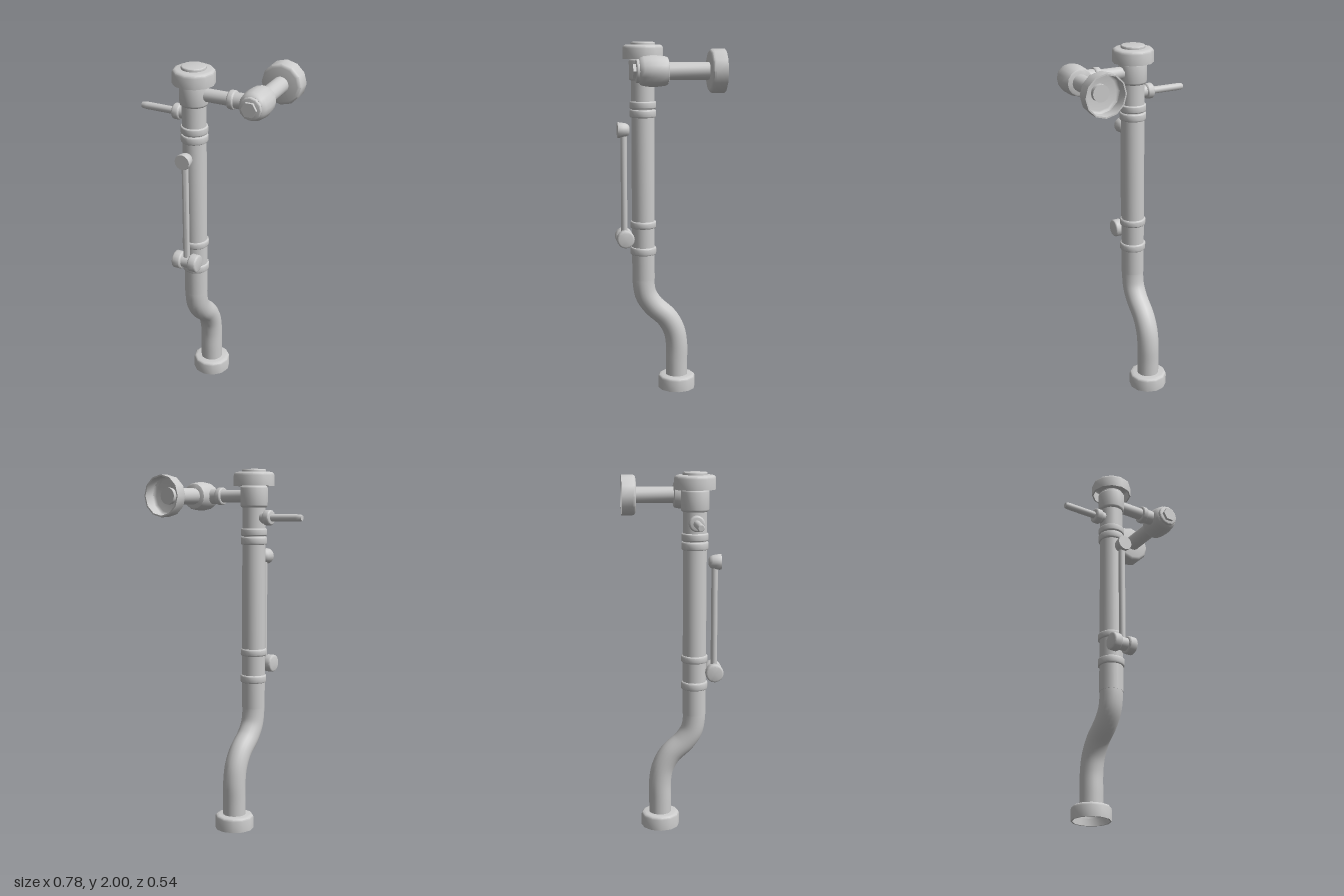
import * as THREE from 'three';
import { toCreasedNormals } from 'three/addons/utils/BufferGeometryUtils.js';

const PX = -0.08, PZ = 0.113;      // axis of the upright pipe
const VX = 0.273, VY = 1.853;      // axis of the stop valve

export function createModel() {
  const group = new THREE.Group();
  const solid = new THREE.MeshStandardMaterial({ color: 0xcccccc });
  const shell = new THREE.MeshStandardMaterial({ color: 0xcccccc, side: THREE.DoubleSide });

  const add = (name, geometry, material = solid) => {
    const mesh = new THREE.Mesh(toCreasedNormals(geometry, 0.65), material);
    mesh.name = name;
    group.add(mesh);
    return mesh;
  };

  // Turned part: profile of [radius, distance along axis]
  const turned = (name, axis, [x, y, z], profile, sides = 16, material = solid, spin = 0) => {
    const g = new THREE.LatheGeometry(profile.map(([r, h]) => new THREE.Vector2(r, h)), sides);
    g.rotateY(spin);
    if (axis === 'x') g.rotateZ(-Math.PI / 2);
    if (axis === 'z') g.rotateX(Math.PI / 2);
    g.translate(x, y, z);
    return add(name, g, material);
  };

  // Closed drum from a to b with softened rims
  const drum = (r, a, b, e = 0) => {
    if (!e) return [[0, a], [r, a], [r, b], [0, b]];
    const arc = [0, 30, 60, 90].map(d => d * Math.PI / 180);
    return [
      [0, a],
      ...arc.map(t => [r - e + e * Math.sin(t), a + e - e * Math.cos(t)]),
      ...arc.map(t => [r - e + e * Math.cos(t), b - e + e * Math.sin(t)]),
      [0, b],
    ];
  };

  // Hollow cup, open at distance a and closed at b
  const cup = (r, a, b, e) => [
    [r - 0.008, b - 0.02], [r - 0.008, a], [r, a],
    ...[0, 30, 60, 90].map(d => d * Math.PI / 180)
      .map(t => [r - e + e * Math.cos(t), b - e + e * Math.sin(t)]),
    [0, b],
  ];

  // Upright pipe with an S-bend down to the floor
  const straight = turned('uprightPipe', 'y', [PX, 0, PZ], drum(0.065, 0.66, 1.92), 20);
  straight.name = 'uprightPipe';
  const bend = new THREE.CatmullRomCurve3([
    [0.113, 0.70], [0.113, 0.64], [0.099, 0.565], [0.057, 0.50],
    [-0.022, 0.425], [-0.064, 0.35], [-0.08, 0.265], [-0.08, 0.15], [-0.08, 0.03],
  ].map(([z, y]) => new THREE.Vector3(PX, y, z)));
  add('bentPipe', new THREE.TubeGeometry(bend, 40, 0.063, 20), shell);

  // Floor flange and top cap
  turned('floorFlange', 'y', [PX, 0, -0.08], cup(0.108, 0, 0.08, 0.018), 12, shell);
  turned('cap', 'y', [PX, 0, 0.112], cup(0.113, 1.908, 1.985, 0.02), 12, shell);
  turned('capDisc', 'y', [PX, 0, 0.112], drum(0.067, 1.97, 2, 0.006), 12);
  turned('upperBody', 'y', [PX, 0, PZ], drum(0.077, 1.79, 1.91, 0.014), 16);

  // Coupling rings along the pipe
  for (const [a, b] of [[1.634, 1.676], [1.586, 1.63], [0.96, 1.0], [0.806, 0.85]])
    turned('couplingRing', 'y', [PX, 0, PZ], drum(0.074, a, b, 0.008), 16);

  // Flush handle
  turned('handleSocket', 'x', [0, 1.735, 0.112], drum(0.034, -0.17, -0.08));
  turned('handleCollar', 'x', [0, 1.735, 0.112], drum(0.043, -0.198, -0.155, 0.01));
  turned('handleLever', 'x', [0, 1.735, 0.112],
    [[0, -0.39], [0.015, -0.39], [0.018, -0.383], [0.02, -0.36], [0.02, -0.18], [0, -0.18]], 12);

  // Horizontal arm to the stop valve
  turned('supplyArm', 'x', [0, VY, 0.111], drum(0.035, -0.05, 0.15));
  turned('armCollar', 'x', [0, VY, 0.111], drum(0.05, 0.123, 0.158, 0.008));
  turned('armNeck', 'x', [0, VY, 0.111], drum(0.042, 0.15, 0.23));

  // Stop valve, wall pipe and wall flange
  turned('valveBody', 'z', [VX, VY, 0], [
    [0, 0.025], [0.062, 0.025], [0.071, 0.029], [0.076, 0.042], [0.081, 0.085],
    [0.081, 0.12], [0.076, 0.155], [0.07, 0.171], [0.06, 0.179], [0, 0.18],
  ]);
  turned('valveBonnet', 'z', [VX, VY, 0], drum(0.061, 0.17, 0.195, 0.006), 12);
  turned('valveNut', 'z', [VX, VY, 0], drum(0.042, 0.19, 0.211), 6, solid, Math.PI / 6);
  turned('wallPipe', 'z', [VX, VY, 0], drum(0.046, -0.215, 0.05));
  turned('wallFlange', 'z', [VX, VY, 0], cup(0.115, -0.272, -0.19, 0.02), 12, shell);

  // Slim rod in front of the pipe, between two fittings
  turned('frontRod', 'y', [PX, 0, 0.222], drum(0.018, 0.88, 1.52), 12);
  turned('rodTopKnob', 'z', [PX, 1.517, 0], [
    [0, 0.188], [0.02, 0.19], [0.031, 0.197], [0.037, 0.209],
    [0.04, 0.225], [0.044, 0.25], [0.042, 0.257], [0, 0.257],
  ]);
  turned('pivotCore', 'x', [PX, 0.905, 0.22], drum(0.037, -0.04, 0.04));
  for (const side of [-1, 1]) {
    const inner = side * 0.022, outer = side * 0.073;
    turned('pivotLobe', 'x', [PX, 0.905, 0.22],
      drum(0.05, Math.min(inner, outer), Math.max(inner, outer), 0.01));
  }
  return group;
}
